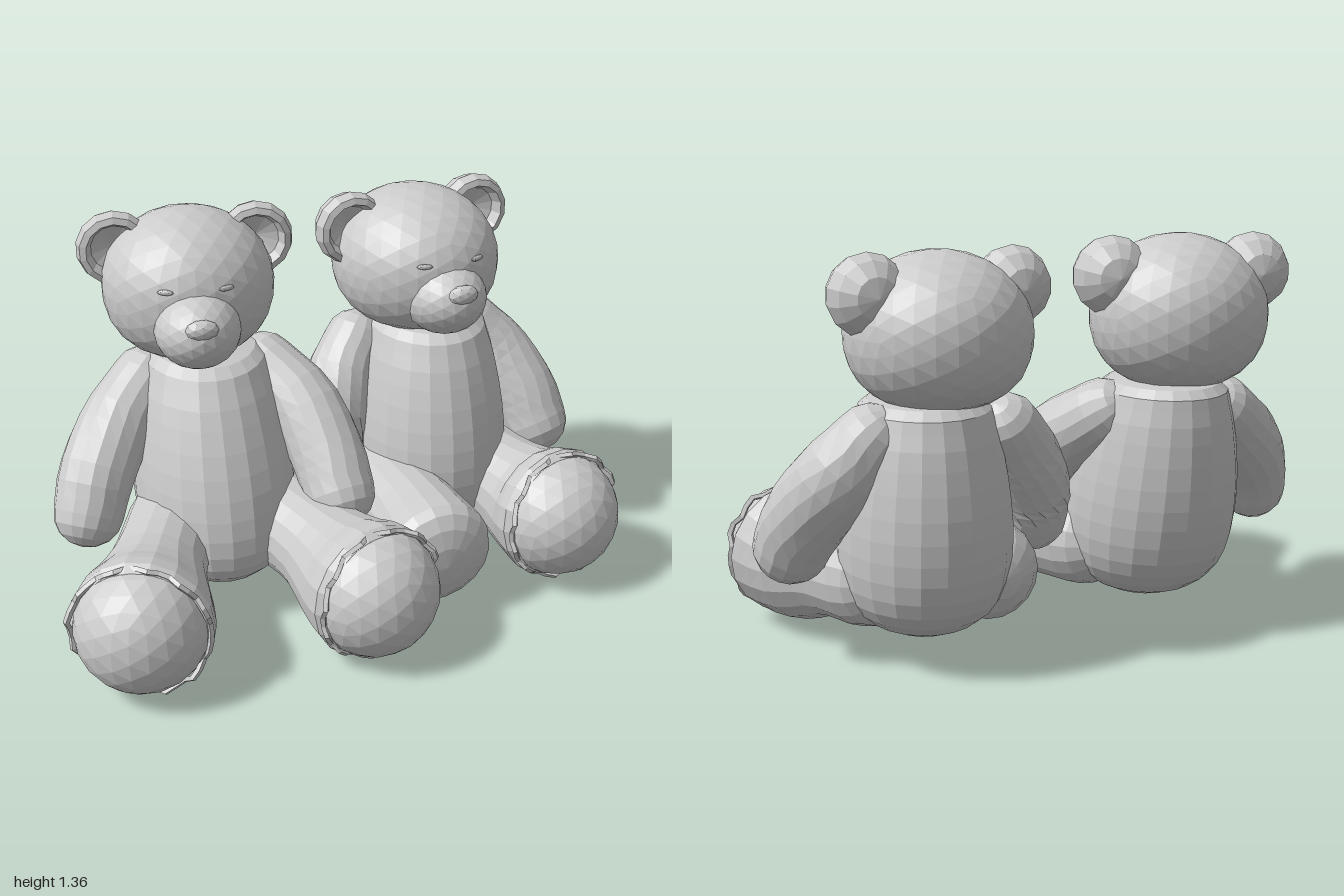
import * as THREE from 'three';

const material = new THREE.MeshStandardMaterial({ color: 0xcccccc, flatShading: true });
const thin = new THREE.MeshStandardMaterial({ color: 0xcccccc, flatShading: true, side: THREE.DoubleSide });

function add(parent, name, geometry, mat = material) {
  const mesh = new THREE.Mesh(geometry, mat);
  mesh.name = name;
  parent.add(mesh);
  return mesh;
}

function lathe(points, sides) {
  return new THREE.LatheGeometry(points.map(([r, y]) => new THREE.Vector2(r, y)), sides);
}

const ellipsoid = (rx, ry, rz, detail) => new THREE.IcosahedronGeometry(1, detail).scale(rx, ry, rz);

// Ellipsoid with a fuller, flatter underside
function skullShape(rx, ry, rz) {
  const geometry = new THREE.IcosahedronGeometry(1, 4);
  const pos = geometry.attributes.position, v = new THREE.Vector3(), p = 2.4;
  for (let i = 0; i < pos.count; i++) {
    v.fromBufferAttribute(pos, i);
    if (v.y < 0) v.divideScalar((Math.hypot(v.x, v.z) ** p + (-v.y) ** p) ** (1 / p));
    pos.setXYZ(i, v.x * rx, v.y * ry, v.z * rz);
  }
  geometry.computeVertexNormals();
  return geometry;
}

// Round limb through [x, y, z, radius] points, with a domed cap at each end
function limb(points, endDome, sides = 16) {
  const curve = new THREE.CatmullRomCurve3(points.map(p => new THREE.Vector3(p[0], p[1], p[2])));
  const radius = new THREE.SplineCurve(points.map((p, i) => new THREE.Vector2(i, p[3])));
  const rings = [];
  const ring = (t, r, shift) => {
    const dir = curve.getTangent(t);
    rings.push({ dir, r, centre: curve.getPoint(t).addScaledVector(dir, shift) });
  };
  const r0 = points[0][3], r1 = points[points.length - 1][3];
  for (let k = 0; k < 4; k++) {
    const a = k / 4 * Math.PI / 2;
    ring(0, r0 * Math.sin(a), -r0 * Math.cos(a));
  }
  for (let k = 0; k <= 8; k++) ring(k / 8, radius.getPoint(k / 8).y, 0);
  for (let k = 1; k <= 4; k++) {
    const a = k / 4 * Math.PI / 2;
    ring(1, r1 * Math.cos(a), r1 * Math.sin(a) * endDome);
  }

  const positions = [], index = [], up = new THREE.Vector3(0, 1, 0);
  rings.forEach(({ dir, r, centre }, i) => {
    const n = up.clone().cross(dir).normalize();
    const b = dir.clone().cross(n);
    for (let j = 0; j < sides; j++) {
      const a = j / sides * Math.PI * 2;
      const v = centre.clone().addScaledVector(n, r * Math.cos(a)).addScaledVector(b, r * Math.sin(a));
      positions.push(v.x, v.y, v.z);
      if (i === rings.length - 1) continue;
      const p = i * sides + j, q = i * sides + (j + 1) % sides;
      index.push(p, q, p + sides, q, q + sides, p + sides);
    }
  });
  const geometry = new THREE.BufferGeometry();
  geometry.setAttribute('position', new THREE.Float32BufferAttribute(positions, 3));
  geometry.setIndex(index);
  geometry.computeVertexNormals();
  return geometry;
}

// Ragged stitched ring: a thin torus with each section pushed in or out
function raggedSeam(r) {
  const sides = 40;
  const geometry = new THREE.TorusGeometry(r, 0.011, 4, sides);
  const pos = geometry.attributes.position;
  for (let i = 0; i < pos.count; i++) {
    const j = (i % (sides + 1)) % sides;
    const wave = Math.sin(j * 12.9898) * 0.5 + Math.sin(j * 4.37) * 0.5;
    const s = 1 + wave * 0.03;
    pos.setXYZ(i, pos.getX(i) * s, pos.getY(i) * s, pos.getZ(i) + wave * 0.025);
  }
  geometry.computeVertexNormals();
  return geometry;
}

// Domed sole and seam, facing along the end of the leg
function addSole(leg, points) {
  const [a, b] = points.slice(-2).map(p => new THREE.Vector3(p[0], p[1], p[2]));
  const r = points[points.length - 1][3];
  const sole = new THREE.Group();
  sole.name = 'sole';
  sole.position.copy(b);
  sole.quaternion.setFromUnitVectors(new THREE.Vector3(0, 0, 1), b.clone().sub(a).normalize());
  leg.add(sole);
  add(sole, 'solePad', ellipsoid(r * 0.93, r * 0.93, r * 0.9, 3));
  add(sole, 'soleSeam', raggedSeam(r * 0.95), thin).position.z = 0.03;
}

function addHead(parent, { position, yaw, size, muzzleZ }) {
  const head = new THREE.Group();
  head.name = 'head';
  head.position.set(...position);
  head.rotation.y = yaw;
  parent.add(head);
  const [rx, ry, rz] = size;
  add(head, 'skull', skullShape(rx, ry, rz));
  const muzzle = add(head, 'muzzle', ellipsoid(0.145, 0.13, 0.17, 3));
  muzzle.position.set(0, -0.072, muzzleZ);
  muzzle.rotation.x = -0.15;
  const nose = add(head, 'nose', ellipsoid(0.055, 0.035, 0.03, 1));
  nose.position.set(0, -0.012, muzzleZ + 0.145);

  // Cupped ear, hollow towards the front
  const earProfile = [[0, -0.09], [0.065, -0.075], [0.11, -0.035], [0.13, 0.02],
    [0.12, 0.06], [0.098, 0.068], [0.08, 0.03], [0, 0]];
  for (const s of [1, -1]) {
    const side = s > 0 ? 'left' : 'right';
    const ear = add(head, side + 'Ear', lathe(earProfile, 14).rotateX(Math.PI / 2));
    ear.position.set(s * 0.24, 0.125, -0.05);
    const eye = add(head, side + 'Eye', ellipsoid(0.028, 0.01, 0.008, 1));
    const ex = 0.1, ey = 0.07;
    eye.position.set(s * ex, ey, rz * Math.sqrt(1 - (ex / rx) ** 2 - (ey / ry) ** 2));
    eye.rotation.y = s * 0.35;
  }
}

function makeBear(name, { body, lean, head, arms, legs, plainFoot }) {
  const bear = new THREE.Group();
  bear.name = name;

  // Pear-shaped body, deeper than wide, sheared back towards the neck
  const curve = new THREE.SplineCurve([[0, 0.12], [0.13, 0.13], [0.23, 0.2], [0.275, 0.3], [0.287, 0.43],
    [0.278, 0.57], [0.252, 0.72], [0.222, 0.83], [0.18, 0.895], [0, 0.92]].map(p => new THREE.Vector2(...p)));
  const profile = curve.getPoints(18).map(p => [Math.max(0, p.x), p.y]);
  const geometry = lathe(profile, 22).scale(1, 1, 1.22);
  const pos = geometry.attributes.position;
  for (let i = 0; i < pos.count; i++) pos.setZ(i, pos.getZ(i) - lean * (pos.getY(i) - 0.45));
  geometry.computeVertexNormals();
  add(bear, 'body', geometry).position.set(body[0], 0, body[1]);

  addHead(bear, head);
  for (const side of ['left', 'right']) {
    add(bear, side + 'Arm', limb(arms[side], 0.95));
    const leg = new THREE.Group();
    leg.name = side + 'Leg';
    bear.add(leg);
    const plain = side === plainFoot;
    add(leg, 'legAndFoot', limb(legs[side], plain ? 0.5 : 0.35, 18));
    if (!plain) addSole(leg, legs[side]);
  }
  return bear;
}

export function createModel() {
  const group = new THREE.Group();
  group.name = 'sittingBears';

  group.add(makeBear('rightBear', {
    body: [-0.42, -0.16], lean: 0.25,
    head: { position: [-0.46, 1.125, -0.29], yaw: -0.04, size: [0.295, 0.255, 0.29], muzzleZ: 0.25 },
    arms: {
      left: [[-0.21, 0.79, -0.26, 0.115], [-0.1, 0.68, -0.13, 0.13], [-0.04, 0.54, 0, 0.13], [-0.02, 0.43, 0.09, 0.125]],
      right: [[-0.63, 0.78, -0.27, 0.115], [-0.75, 0.66, -0.17, 0.13], [-0.84, 0.53, -0.06, 0.13], [-0.88, 0.42, 0, 0.12]],
    },
    legs: {
      left: [[-0.22, 0.3, -0.05, 0.17], [-0.11, 0.285, 0.17, 0.17], [-0.03, 0.26, 0.35, 0.218], [0.01, 0.265, 0.455, 0.24]],
      right: [[-0.58, 0.3, -0.05, 0.17], [-0.67, 0.285, 0.17, 0.165], [-0.73, 0.26, 0.35, 0.218], [-0.765, 0.262, 0.46, 0.24]],
    },
  }));

  group.add(makeBear('leftBear', {
    body: [0.41, -0.305], lean: 0.1,
    head: { position: [0.368, 1.11, -0.37], yaw: 0.17, size: [0.295, 0.25, 0.315], muzzleZ: 0.235 },
    arms: {
      left: [[0.6, 0.79, -0.44, 0.115], [0.7, 0.67, -0.41, 0.135], [0.79, 0.53, -0.33, 0.135], [0.83, 0.42, -0.27, 0.125]],
      right: [[0.15, 0.79, -0.38, 0.11], [0.08, 0.67, -0.32, 0.125], [0.03, 0.54, -0.25, 0.13], [0.02, 0.44, -0.21, 0.12]],
    },
    legs: {
      left: [[0.58, 0.3, -0.25, 0.175], [0.66, 0.285, -0.08, 0.175], [0.73, 0.268, 0.06, 0.213], [0.765, 0.282, 0.165, 0.24]],
      right: [[0.2, 0.3, -0.3, 0.17], [0.22, 0.29, -0.1, 0.165], [0.26, 0.28, 0.1, 0.175], [0.28, 0.265, 0.28, 0.198]],
    },
    plainFoot: 'right',
  }));
  return group;
}
